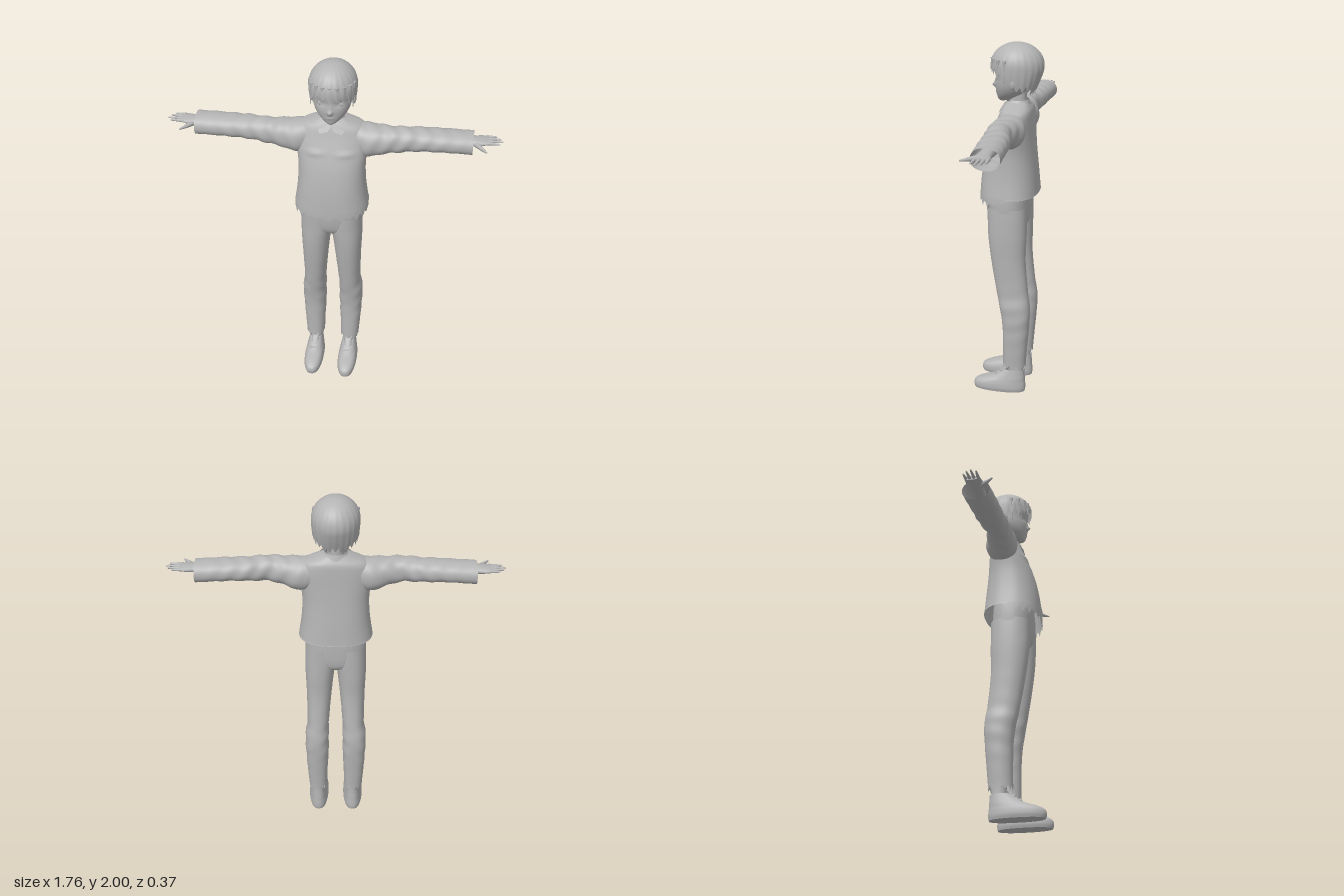
import * as THREE from 'three';

const TAU = Math.PI * 2;
const grey = new THREE.MeshStandardMaterial({ color: 0xb4b4b4, side: THREE.DoubleSide });
grey.name = 'plain grey';

const spline = (a, b, c, d, t) => b + 0.5 * t * (c - a + t * (2 * a - 5 * b + 4 * c - d + t * (3 * (b - c) + d - a)));
const bump = (v, mid, width) => Math.exp(-(((v - mid) / width) ** 2));
const zigzag = (t, n) => Math.abs(((t / TAU * n) % 1 + 1) % 1 * 2 - 1);

// Smooth skin through rings [y, xMin, xMax, zMin, zMax]; warp can move each point
function loft(rings, { seg = 40, sub = 6, pow = 2.2, warp, capStart, capEnd } = {}) {
  const rows = [];
  for (let i = 0; i < rings.length - 1; i++) {
    const at = k => rings[Math.min(Math.max(k, 0), rings.length - 1)];
    for (let s = 0; s < sub; s++) {
      rows.push(rings[i].map((_, k) => spline(at(i - 1)[k], at(i)[k], at(i + 1)[k], at(i + 2)[k], s / sub)));
    }
  }
  rows.push(rings[rings.length - 1]);
  const pos = [], index = [];
  const round = v => Math.sign(v) * Math.abs(v) ** (2 / pow);
  rows.forEach(([y, x0, x1, z0, z1], r) => {
    for (let j = 0; j < seg; j++) {
      const t = j / seg * TAU;
      const p = new THREE.Vector3((x0 + x1) / 2 + (x1 - x0) / 2 * round(Math.cos(t)), y,
        (z0 + z1) / 2 + (z1 - z0) / 2 * round(Math.sin(t)));
      if (warp) warp(p, t, r / (rows.length - 1));
      pos.push(p.x, p.y, p.z);
    }
  });
  for (let r = 0; r < rows.length - 1; r++) for (let j = 0; j < seg; j++) {
    const a = r * seg + j, b = r * seg + (j + 1) % seg;
    index.push(a, a + seg, b, b, a + seg, b + seg);
  }
  const cap = (r, flip) => {
    const base = pos.length / 3, [y, x0, x1, z0, z1] = rows[r];
    pos.push(...pos.slice(r * seg * 3, (r + 1) * seg * 3), (x0 + x1) / 2, y, (z0 + z1) / 2);
    for (let j = 0; j < seg; j++) {
      const a = base + j, b = base + (j + 1) % seg;
      index.push(base + seg, flip ? a : b, flip ? b : a);
    }
  };
  if (capStart) cap(0, true);
  if (capEnd) cap(rows.length - 1, false);
  return surface(pos, index);
}

function surface(pos, index) {
  const g = new THREE.BufferGeometry();
  g.setAttribute('position', new THREE.Float32BufferAttribute(pos, 3));
  g.setIndex(index);
  g.computeVertexNormals();
  return g;
}

// Tapered round bar between two points
function bar(from, to, r0, r1) {
  const a = new THREE.Vector3(...from), b = new THREE.Vector3(...to), d = b.clone().sub(a);
  const g = new THREE.CylinderGeometry(r1, r0, d.length(), 10);
  g.applyQuaternion(new THREE.Quaternion().setFromUnitVectors(new THREE.Vector3(0, 1, 0), d.normalize()));
  const m = a.add(b).multiplyScalar(0.5);
  return g.translate(m.x, m.y, m.z);
}

const ball = (x, y, z, rx, ry, rz) => new THREE.SphereGeometry(1, 16, 12).scale(rx, ry, rz).translate(x, y, z);

export function createModel() {
  const model = new THREE.Group();
  const add = (name, g) => {
    const m = new THREE.Mesh(g, grey);
    m.name = name;
    model.add(m);
  };
  // Adds the part on the left and a mirrored copy on the right
  const pair = (name, g) => {
    add('left ' + name, g);
    const h = g.clone().scale(-1, 1, 1), ix = h.index.array;
    for (let i = 0; i < ix.length; i += 3) [ix[i], ix[i + 1]] = [ix[i + 1], ix[i]];
    add('right ' + name, h);
  };

  // Shirt body, with a ragged front hem and chest folds
  add('shirt', loft([
    [1.18, -0.2, 0.2, -0.165, 0.152], [1.3, -0.183, 0.183, -0.155, 0.142], [1.42, -0.178, 0.178, -0.143, 0.12],
    [1.52, -0.188, 0.188, -0.135, 0.088], [1.6, -0.19, 0.19, -0.13, 0.055], [1.645, -0.165, 0.165, -0.125, 0.038],
    [1.672, -0.105, 0.105, -0.112, 0.025], [1.69, -0.06, 0.06, -0.1, 0.012],
  ], {
    seg: 96, sub: 8, pow: 2.5,
    warp: (p, t, f) => {
      if (f === 0 && Math.sin(t) > 0.05) p.y -= 0.01 + 0.035 * zigzag(t, 24) * (0.7 + 0.3 * Math.sin(t * 17));
      if (f === 0 && Math.sin(t) < 0) p.y += 0.008;
      if (Math.sin(t) > 0) p.z += 0.007 * bump(p.y, 1.525, 0.014) * bump(Math.abs(p.x), 0.085, 0.05);
    },
  }));

  // Sleeves, open at the cuff, lofted upright and then laid along x
  pair('sleeve', loft([
    [0.13, -1.655, -1.49, -0.115, 0.04], [0.19, -1.652, -1.475, -0.122, 0.055], [0.27, -1.65, -1.5, -0.1, 0.05],
    [0.35, -1.652, -1.518, -0.085, 0.046], [0.45, -1.647, -1.527, -0.105, 0.037], [0.58, -1.643, -1.53, -0.115, 0.034],
    [0.73, -1.638, -1.525, -0.122, 0.026],
  ], {
    sub: 10,
    warp: (p, t, f) => {
      const w = 0.003 * Math.sin(p.y * 70 + 2 * Math.sin(t * 2)) * Math.sin(Math.PI * f);
      p.x += w * Math.cos(t);
      p.z += w * Math.sin(t);
    },
  }).rotateZ(-Math.PI / 2));

  // Forearms, palms, fingers and thumbs
  pair('hand', loft([
    [0.5, -1.62, -1.555, -0.085, -0.01], [0.68, -1.62, -1.57, -0.08, -0.01], [0.735, -1.617, -1.577, -0.082, -0.004],
    [0.775, -1.615, -1.583, -0.089, -0.002], [0.81, -1.612, -1.59, -0.088, -0.008],
  ], { seg: 24, capEnd: true }).rotateZ(-Math.PI / 2));
  [[-0.079, 0.85, -0.084], [-0.06, 0.872, -0.063], [-0.038, 0.882, -0.038], [-0.017, 0.866, -0.013]].forEach(([z, x, tip], i) => {
    pair('finger ' + (i + 1), bar([0.795, 1.602, z], [x, 1.602, tip], 0.0105, 0.004));
  });
  pair('thumb base', bar([0.74, 1.594, -0.02], [0.775, 1.592, 0.025], 0.016, 0.01));
  pair('thumb', bar([0.772, 1.592, 0.022], [0.8, 1.592, 0.056], 0.01, 0.004));

  // Trousers: seat and two legs with ragged hems
  add('trouser seat', loft([
    [0.975, -0.045, 0.045, -0.06, 0.035], [1.0, -0.11, 0.11, -0.1, 0.075], [1.05, -0.158, 0.158, -0.114, 0.1],
    [1.15, -0.167, 0.167, -0.115, 0.11], [1.24, -0.16, 0.16, -0.11, 0.105],
  ], { pow: 2.5, capStart: true, capEnd: true }));
  pair('trouser leg', loft([
    [0.175, 0.05, 0.156, -0.116, 0.013], [0.3, 0.046, 0.165, -0.126, 0.013], [0.42, 0.041, 0.171, -0.136, 0.016],
    [0.52, 0.04, 0.173, -0.139, 0.03], [0.62, 0.038, 0.161, -0.126, 0.05], [0.8, 0.023, 0.163, -0.11, 0.08],
    [0.94, 0.008, 0.168, -0.113, 0.097], [1.04, -0.008, 0.168, -0.114, 0.102], [1.12, 0.0, 0.165, -0.113, 0.105],
  ], {
    seg: 48, pow: 2.3,
    warp: (p, t, f) => {
      if (f === 0) p.y -= 0.022 * zigzag(t, 12);
      p.x += 0.002 * Math.sin(p.y * 60 + t) * bump(p.y, 0.5, 0.18);
    },
  }));

  // Ankles and shoes
  pair('ankle', loft([[0.08, 0.066, 0.134, -0.102, -0.015], [0.15, 0.07, 0.13, -0.1, -0.022], [0.26, 0.066, 0.134, -0.1, -0.01]], { seg: 24 }));
  pair('shoe', loft([
    [0, 0.05, 0.152, -0.112, 0.182], [0.02, 0.045, 0.157, -0.115, 0.187], [0.045, 0.046, 0.156, -0.114, 0.18],
    [0.065, 0.05, 0.152, -0.112, 0.145], [0.085, 0.055, 0.147, -0.111, 0.085], [0.11, 0.06, 0.141, -0.109, 0.04],
    [0.135, 0.064, 0.136, -0.108, 0.005],
  ], { pow: 2.4, capStart: true }));
  pair('shoe tongue', loft([[0.09, 0.08, 0.12, 0.0, 0.06], [0.15, 0.078, 0.122, -0.02, 0.004]], { seg: 16, capEnd: true }));
  [[0.096, 0.064], [0.118, 0.032]].forEach(([y, z], i) => {
    pair('lace ' + (i + 1), bar([0.076, y, z - 0.008], [0.124, y + 0.004, z - 0.008], 0.005, 0.005));
  });

  // Neck and collar
  add('neck', loft([[1.6, -0.05, 0.05, -0.1, 0.0], [1.69, -0.044, 0.044, -0.092, 0.0], [1.78, -0.046, 0.046, -0.095, 0.01]], { seg: 28 }));
  add('collar band', loft([[1.665, -0.078, 0.078, -0.115, 0.03], [1.7, -0.056, 0.056, -0.103, 0.015]], {
    warp: (p, t, f) => { p.y -= 0.028 * f * Math.max(0, Math.sin(t)) ** 3; },
  }));
  pair('collar flap', surface([0.0, 1.668, 0.032, 0.016, 1.64, 0.049, 0.058, 1.628, 0.05, 0.085, 1.668, 0.012, 0.055, 1.698, 0.0],
    [0, 1, 2, 0, 2, 3, 0, 3, 4]));

  // Head, pointed at the chin, with shallow eye sockets
  add('head', loft([
    [1.688, -0.014, 0.014, 0.02, 0.054], [1.7, -0.036, 0.036, -0.025, 0.062], [1.73, -0.069, 0.069, -0.075, 0.069],
    [1.77, -0.093, 0.093, -0.115, 0.074], [1.82, -0.105, 0.105, -0.14, 0.074], [1.88, -0.11, 0.11, -0.155, 0.08],
    [1.94, -0.09, 0.09, -0.13, 0.06], [1.975, -0.04, 0.04, -0.08, 0.01],
  ], {
    seg: 64, sub: 8, capStart: true, capEnd: true,
    warp: (p, t) => {
      if (Math.sin(t) <= 0) return;
      p.z -= 0.007 * bump(p.y, 1.815, 0.016) * bump(Math.abs(p.x), 0.045, 0.022);
      p.z += 0.018 * bump(p.y, 1.768, 0.013) * bump(p.x, 0, 0.01) + 0.006 * bump(p.y, 1.79, 0.02) * bump(p.x, 0, 0.009);
      p.z += 0.004 * bump(p.y, 1.733, 0.007) * bump(p.x, 0, 0.02);
    },
  }));
  pair('ear', ball(0.108, 1.802, -0.04, 0.013, 0.032, 0.02).rotateX(0));
  pair('eye', ball(0.045, 1.814, 0.058, 0.02, 0.013, 0.004).rotateY(0.04));
  const lash = [[0.022, 1.82, 0.067], [0.045, 1.831, 0.064], [0.07, 1.822, 0.052]].map(p => new THREE.Vector3(...p));
  pair('upper lash', new THREE.TubeGeometry(new THREE.CatmullRomCurve3(lash), 10, 0.0025, 6));

  // Hair cap: ridged strands from the crown to a jagged edge, short in front and long at the nape
  add('hair', loft([[1, -1, 1, -1, 1], [0, -1, 1, -1, 1]].reverse(), {
    seg: 144, sub: 28, pow: 2,
    warp: (p, t, f) => {
      const front = Math.sin(t), tooth = zigzag(t, 22);
      const edge = front > 0 ? 1.79 + 0.075 * Math.min(1, front * 1.35) : 1.79 - 0.045 * -front;
      const low = edge - 0.02 + 0.034 * tooth + 0.008 * Math.sin(t * 7);
      const y = low + (2 - low) * Math.sin(f * Math.PI / 2);
      const dome = Math.sqrt(Math.max(0, 1 - ((y - 1.88) / (y > 1.88 ? 0.12 : 0.25)) ** 2));
      const r = dome * (1 - 0.025 * tooth * (1 - f));
      const tuck = front < 0 && y < 1.86 ? 1 - 1.7 * (1.86 - y) * -front : 1;
      p.set(0.126 * r * Math.cos(t), y, -0.042 + 0.143 * r * tuck * front);
    },
  }));

  // Loose locks over the forehead and temples
  [[0, 0.09, 1.85, 0.012], [0.035, 0.088, 1.842, 0.012], [0.068, 0.073, 1.838, 0.012], [0.095, 0.045, 1.81, 0.012], [0.111, 0.008, 1.775, 0.011]]
    .forEach(([x, z, tip, r], i) => {
      const g = bar([x, 1.92, z - 0.006], [x * 0.98, tip, z], r, 0.001);
      if (x) pair('hair lock ' + i, g); else add('centre hair lock', g);
    });
  return model;
}
